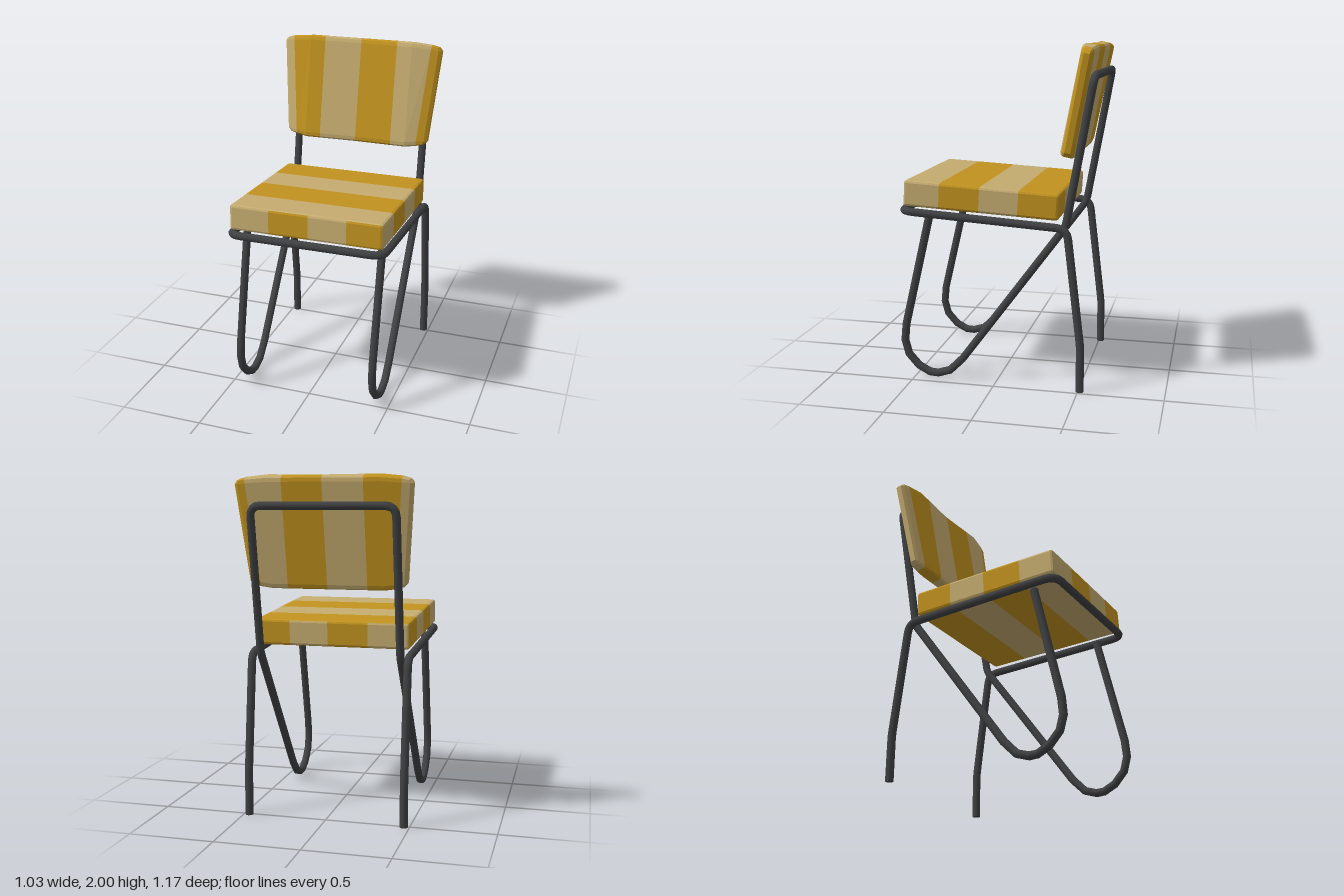
import * as THREE from 'three';

const gold = new THREE.MeshStandardMaterial({ color: 0xc2931f });
gold.name = 'gold fabric';
const tan = new THREE.MeshStandardMaterial({ color: 0xc6ad70 });
tan.name = 'tan fabric';
const steel = new THREE.MeshStandardMaterial({ color: 0x404143 });
steel.name = 'dark steel';

const V = (x, y, z) => new THREE.Vector3(x, y, z);

// Straight-segment path with mitred joints
class Polyline extends THREE.Curve {
  constructor(points) { super(); this.points = points; }
  getPoint(t) {
    const n = this.points.length - 1, f = Math.min(Math.max(t, 0), 1) * n;
    const i = Math.min(Math.floor(f + 1e-6), n - 1);
    return this.points[i].clone().lerp(this.points[i + 1], f - i);
  }
  getPointAt(t) { return this.getPoint(t); }
  getTangentAt(t) {
    const p = this.points, n = p.length - 1, i = Math.round(t * n);
    const a = V(0, 0, 0), b = V(0, 0, 0);
    if (i > 0) a.subVectors(p[i], p[i - 1]).normalize();
    if (i < n) b.subVectors(p[i + 1], p[i]).normalize();
    return a.add(b).normalize();
  }
}

// Replace the corner at b by a short arc that starts d before it
function fillet(a, b, c, d, steps = 4) {
  const p = b.clone().add(a.clone().sub(b).setLength(d));
  const q = b.clone().add(c.clone().sub(b).setLength(d));
  return new THREE.QuadraticBezierCurve3(p, b, q).getPoints(steps);
}

const mirrored = (points) => points.map((p) => V(-p.x, p.y, p.z)).reverse();

// Bent steel tube with closed ends
function tube(name, points, radius = 0.024) {
  const group = new THREE.Group();
  group.name = name;
  const path = new Polyline(points);
  group.add(new THREE.Mesh(new THREE.TubeGeometry(path, points.length - 1, radius, 10), steel));
  for (const t of [0, 1]) {
    const cap = new THREE.Mesh(new THREE.CircleGeometry(radius, 10), steel);
    const out = path.getTangentAt(t).multiplyScalar(t ? 1 : -1);
    cap.position.copy(path.getPointAt(t));
    cap.quaternion.setFromUnitVectors(V(0, 0, 1), out);
    cap.name = 'tubeEnd';
    group.add(cap);
  }
  return group;
}

// Bevelled block on a grid of cut lines; stripe(face, column, row) picks tan (0) or gold (1)
function cushion(name, cuts, stripe, bend) {
  const n = cuts.map((c) => c.length - 1);
  const geo = new THREE.BoxGeometry(1, 1, 1, ...n).toNonIndexed();
  const faces = geo.groups.slice();
  const pos = geo.attributes.position;
  const grid = (v) => [pos.getX(v), pos.getY(v), pos.getZ(v)].map((c, k) => (c + 0.5) * n[k]);
  geo.clearGroups();
  for (let v = 0; v < pos.count; v += 3) {
    const face = faces.findIndex((f) => v >= f.start && v < f.start + f.count);
    const corners = [grid(v), grid(v + 1), grid(v + 2)];
    const cell = n.map((count, k) =>
      Math.min(Math.floor((corners[0][k] + corners[1][k] + corners[2][k]) / 3), count - 1));
    const material = stripe(face, cell[0], cell[2]);
    const last = geo.groups[geo.groups.length - 1];
    if (last && last.materialIndex === material) last.count += 3;
    else geo.addGroup(v, 3, material);
  }
  for (let v = 0; v < pos.count; v++) {
    const index = grid(v).map(Math.round);
    const outer = index.filter((i, k) => i === 0 || i === n[k]).length;
    const p = index.map((i, k) => {
      const c = cuts[k];
      if (i !== 0 && i !== n[k]) return c[i];
      const inner = c[i === 0 ? 1 : n[k] - 1];
      return inner + (c[i] - inner) / Math.sqrt(outer);
    });
    if (bend) bend(p);
    pos.setXYZ(v, ...p);
  }
  geo.computeVertexNormals();
  const mesh = new THREE.Mesh(geo, [tan, gold]);
  mesh.name = name;
  return mesh;
}

export function createModel() {
  const chair = new THREE.Group();
  chair.name = 'chair';

  // Seat cushion: stripes run across the top, and upright on the front and back
  const seatX = [0, 0, 1, 0, 1, 1], seatZ = [1, 1, 0, 1, 0, 0];
  const seat = cushion('seatCushion', [
    [-0.465, -0.447, -0.22, 0.02, 0.25, 0.447, 0.465],
    [-0.077, -0.062, 0.062, 0.077],
    [-0.462, -0.447, -0.225, 0.005, 0.245, 0.447, 0.462],
  ], (face, col, row) => (face >= 4 ? seatX[col] : seatZ[row]));
  seat.position.set(0, 1.106, 0.085);
  seat.rotation.x = -0.054;
  chair.add(seat);

  // Back cushion: upright stripes, narrower at the bottom, front hollowed in the middle
  const backX = [0, 1, 1, 0, 1, 0, 0, 1];
  const back = cushion('backCushion', [
    [-0.515, -0.45, -0.33, -0.235, 0, 0.235, 0.33, 0.45, 0.515],
    [-0.325, -0.295, 0.295, 0.325],
    [-0.046, -0.03, 0.03, 0.046],
  ], (face, col) => backX[col], (p) => {
    const ax = Math.abs(p[0]);
    const ridge = ax < 0.33 ? -0.018 * (1 - ax / 0.33) : -0.14 * (ax - 0.33);
    if (p[2] > 0) p[2] += ridge;
    if (ax > 0.33) {
      p[1] *= 1 - 0.25 * (ax - 0.33);
      const narrowing = 0.085 * (0.3 - p[1]) * Math.min((ax - 0.33) / 0.12, 1);
      p[0] -= Math.sign(p[0]) * narrowing;
    }
  });
  back.position.set(0, 1.672, -0.463);
  back.rotation.x = -0.193;
  chair.add(back);

  // Seat rail: rear legs bending into the sides and across the front
  const rx = 0.467;
  const foot = V(rx, 0, -0.51), knee = V(rx, 0.27, -0.51);
  const hip = V(rx, 0.963, -0.425), front = V(rx, 1.026, 0.558);
  const railSide = [
    foot, ...fillet(foot, knee, hip, 0.03, 2),
    ...fillet(knee, hip, front, 0.06),
    ...fillet(hip, front, V(-rx, 1.026, 0.558), 0.075),
  ];
  chair.add(tube('seatRailAndRearLegs', [...railSide, ...mirrored(railSide)]));

  // Back hoop: each side drops into a front leg loop that returns up under the seat
  const lx = 0.42;
  const loop = [
    [1.0, 0.4], [0.32, 0.557], [0.22, 0.566], [0.135, 0.543], [0.065, 0.48],
    [0.029, 0.41], [0.026, 0.36], [0.05, 0.285], [0.13, 0.205],
  ].map(([y, z]) => V(lx, y, z));
  const bend = V(lx, 0.965, -0.41), top = V(lx, 1.822, -0.562);
  const hoopSide = [
    ...loop,
    ...fillet(loop[loop.length - 1], bend, top, 0.03, 3),
    ...fillet(bend, top, V(-lx, 1.822, -0.562), 0.065),
  ];
  chair.add(tube('backHoopAndFrontLegs', [...hoopSide, ...mirrored(hoopSide)]));

  return chair;
}
